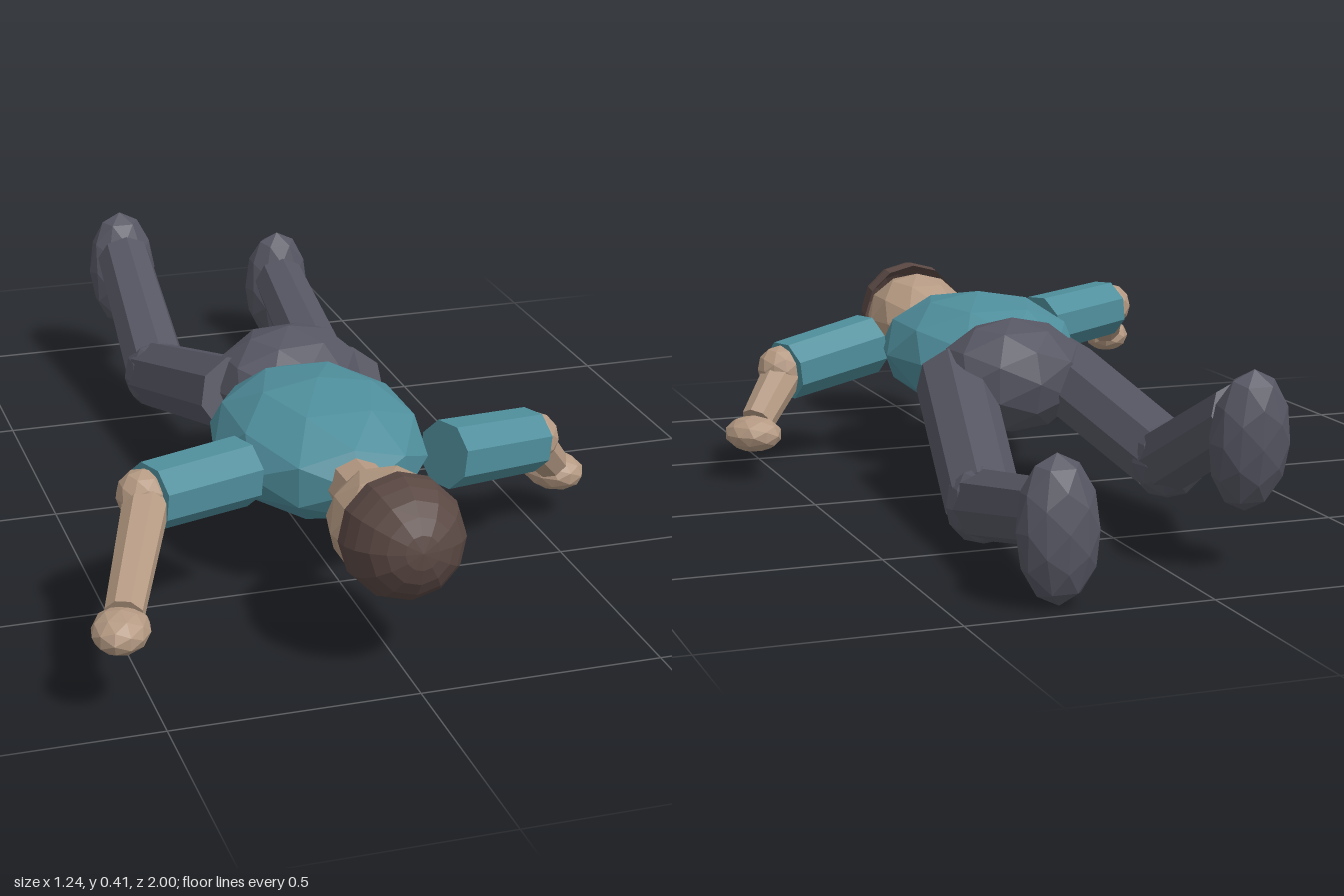
import * as THREE from 'three';

const mat = (name, color) => {
  const m = new THREE.MeshStandardMaterial({ color, flatShading: true });
  m.name = name;
  return m;
};

export function createModel() {
  const skin = mat('skin', 0xb59a83);
  const shirt = mat('shirtTeal', 0x4f8e9c);
  const trousers = mat('trousersSlate', 0x565663);
  const hair = mat('hairBrown', 0x5a4843);
  hair.side = THREE.DoubleSide;

  const figure = new THREE.Group();
  figure.name = 'lyingFigure';
  const up = new THREE.Vector3(0, 1, 0);

  const add = (parent, name, geometry, material) => {
    const mesh = new THREE.Mesh(geometry, material);
    mesh.name = name;
    parent.add(mesh);
    return mesh;
  };

  // Faceted ellipsoid with the given centre and half sizes
  const blob = (parent, name, center, size, material, tilt = [0, 0, 0]) => {
    const mesh = add(parent, name, new THREE.IcosahedronGeometry(1, 1), material);
    mesh.position.set(...center);
    mesh.scale.set(...size);
    mesh.rotation.set(...tilt);
    return mesh;
  };

  // Eight-sided tapered tube from a to b
  const limb = (parent, name, a, b, ra, rb, material) => {
    const from = new THREE.Vector3(...a), to = new THREE.Vector3(...b);
    const dir = to.clone().sub(from);
    const mesh = add(parent, name, new THREE.CylinderGeometry(rb, ra, dir.length(), 8), material);
    mesh.position.copy(from).add(to).multiplyScalar(0.5);
    mesh.quaternion.setFromUnitVectors(up, dir.normalize());
    return mesh;
  };

  // Trunk
  blob(figure, 'torso', [0, 0.268, 0.34], [0.227, 0.14, 0.29], shirt);
  blob(figure, 'hips', [0.04, 0.268, 0], [0.175, 0.13, 0.142], trousers, [0, 0.12, 0]);

  // Head, neck and hair cap
  limb(figure, 'neck', [0, 0.268, 0.57], [0, 0.272, 0.72], 0.06, 0.06, skin);
  blob(figure, 'head', [0, 0.275, 0.81], [0.124, 0.112, 0.158], skin);
  const cap = add(figure, 'hair',
    new THREE.SphereGeometry(0.125, 12, 6, 0, Math.PI * 2, 0, Math.PI * 0.54), hair);
  cap.position.set(0, 0.283, 0.872);
  cap.rotation.x = Math.PI / 2 - 0.14;

  // Arms: sleeve, elbow, forearm, hand
  const arms = [
    { name: 'rightArm', shoulder: [-0.215, 0.29, 0.505], elbow: [-0.435, 0.306, 0.608],
      wrist: [-0.55, 0.2, 0.885], hand: [-0.562, 0.182, 0.908], turn: -0.4 },
    { name: 'leftArm', shoulder: [0.225, 0.27, 0.5], elbow: [0.458, 0.236, 0.402],
      wrist: [0.545, 0.138, 0.322], hand: [0.56, 0.112, 0.305], turn: 0.7 },
  ];
  for (const { name, shoulder, elbow, wrist, hand, turn } of arms) {
    const arm = new THREE.Group();
    arm.name = name;
    figure.add(arm);
    limb(arm, 'sleeve', shoulder, elbow, 0.073, 0.07, shirt);
    blob(arm, 'elbow', [elbow[0] * 1.02, elbow[1] + 0.005, elbow[2]], [0.055, 0.055, 0.055], skin);
    limb(arm, 'forearm', elbow, wrist, 0.048, 0.039, skin);
    blob(arm, 'hand', hand, [0.057, 0.042, 0.07], skin, [0, turn, 0]);
  }

  // Legs: thigh, knee, shin, foot
  const legs = [
    { name: 'rightLeg', hip: [-0.09, 0.26, 0.03], knee: [-0.157, 0.145, -0.42],
      ankle: [-0.146, 0.318, -0.8], foot: [-0.142, 0.272, -0.842], tilt: -0.12 },
    { name: 'leftLeg', hip: [0.165, 0.255, 0.035], knee: [0.267, 0.09, -0.45],
      ankle: [0.293, 0.178, -0.9], foot: [0.293, 0.155, -0.936], tilt: 0.04 },
  ];
  for (const { name, hip, knee, ankle, foot, tilt } of legs) {
    const leg = new THREE.Group();
    leg.name = name;
    figure.add(leg);
    limb(leg, 'thigh', hip, knee, 0.086, 0.08, trousers);
    blob(leg, 'knee', knee, [0.082, 0.082, 0.082], trousers);
    limb(leg, 'shin', knee, ankle, 0.075, 0.066, trousers);
    blob(leg, 'foot', foot, [0.084, 0.145, 0.064], trousers, [tilt, 0, 0]);
  }
  return figure;
}
